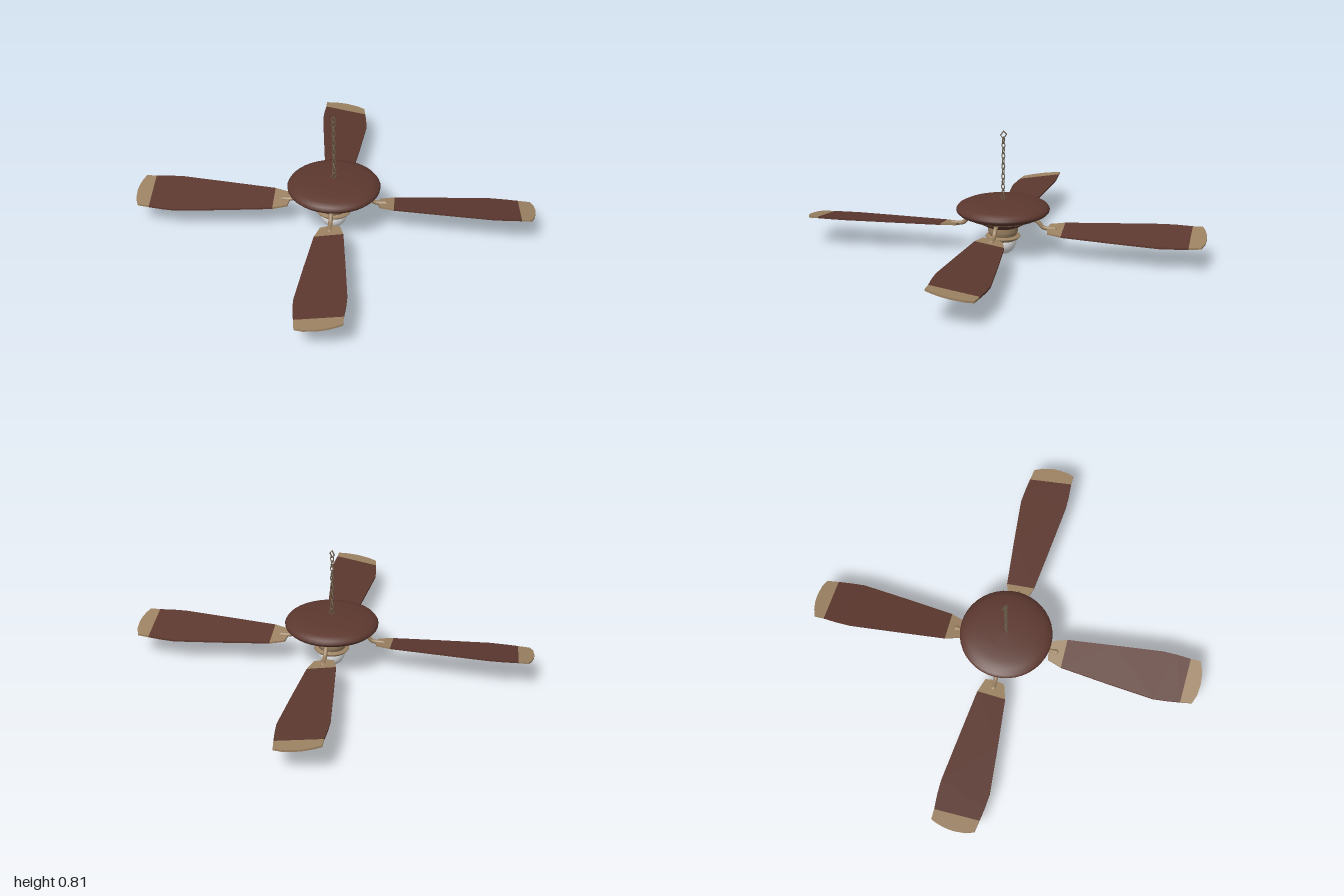
import * as THREE from 'three';

const mat = (name, color, side = THREE.FrontSide) => {
  const m = new THREE.MeshStandardMaterial({ color, side });
  m.name = name;
  return m;
};

export function createModel() {
  const wood = mat('dark wood', 0x5c382f, THREE.DoubleSide);
  const brass = mat('aged brass', 0x9c8262, THREE.DoubleSide);
  const iron = mat('chain metal', 0x6e614c);
  const glass = mat('white glass', 0xe4e4e6);

  const group = new THREE.Group();
  group.name = 'ceilingFan';
  const add = (parent, name, geometry, material) => {
    const mesh = new THREE.Mesh(geometry, material);
    mesh.name = name;
    parent.add(mesh);
    return mesh;
  };
  const lathe = (name, points, material) =>
    add(group, name, new THREE.LatheGeometry(points.map(p => new THREE.Vector2(...p)), 40), material);

  // Motor housing, stacked from the broad dome down to the lamp
  lathe('dome', [[0, 0.25], [0.2, 0.252], [0.25, 0.262], [0.282, 0.277], [0.297, 0.292], [0.299, 0.304],
    [0.288, 0.32], [0.255, 0.336], [0.2, 0.348], [0.12, 0.356], [0, 0.36]], wood);
  lathe('motorRing', [[0.14, 0.237], [0.19, 0.239], [0.222, 0.248], [0.226, 0.262]], brass);
  lathe('motorBowl', [[0, 0.188], [0.1, 0.188], [0.122, 0.198], [0.148, 0.213], [0.168, 0.23], [0.172, 0.242]], wood);
  lathe('lampHolder', [[0.078, 0.118], [0.086, 0.128], [0.09, 0.14], [0.094, 0.15], [0.097, 0.158],
    [0.098, 0.19]], brass);
  lathe('lampCollar', [[0.082, 0.1], [0.09, 0.1], [0.1, 0.106], [0.112, 0.118], [0.11, 0.124],
    [0.1, 0.122], [0.084, 0.132]], brass);
  add(group, 'bulb', new THREE.SphereGeometry(0.086, 32, 20), glass).position.y = 0.086;

  // Blade outlines as [radius, offset] pairs, split where the colour changes
  const outlines = [
    ['bladeRoot', brass, [[0.297, -0.062], [0.39, -0.092], [0.39, 0.092], [0.297, 0.062], [0.285, 0]]],
    ['bladePanel', wood, [[0.39, -0.092], [0.7, -0.123], [1.011, -0.15], [1.1, -0.142], [1.187, -0.13],
      [1.194, 0.157], [1.1, 0.163], [1.011, 0.163], [0.7, 0.128], [0.39, 0.092]]],
    ['bladeTip', brass, [[1.187, -0.13], [1.263, -0.118], [1.283, -0.066], [1.291, 0.01], [1.287, 0.06],
      [1.276, 0.11], [1.258, 0.158], [1.194, 0.157]]],
  ];
  const thickness = 0.012;

  // Four blades; neighbours are mirror images, so s flips offset and pitch
  for (let i = 0; i < 4; i++) {
    const s = i % 2 ? -1 : 1;
    const blade = new THREE.Group();
    blade.name = 'blade' + (i + 1);
    blade.rotation.y = -Math.PI / 4 - i * Math.PI / 2;
    group.add(blade);

    for (const [name, material, points] of outlines) {
      const shape = new THREE.Shape(points.map(([r, t]) => new THREE.Vector2(r, t * s)));
      const geo = new THREE.ExtrudeGeometry(shape, { depth: thickness, bevelEnabled: false });
      geo.rotateX(-Math.PI / 2);
      // Pitch the flat plate about its long axis
      const pos = geo.attributes.position;
      for (let k = 0; k < pos.count; k++) pos.setY(k, pos.getY(k) + 0.176 - 0.17 * s * pos.getZ(k));
      geo.computeVertexNormals();
      add(blade, name, geo, material);
    }

    // Curved arm from the motor to the blade root
    const arm = new THREE.CatmullRomCurve3([[0.15, 0.238], [0.2, 0.24], [0.235, 0.22], [0.255, 0.196],
      [0.29, 0.185], [0.335, 0.186]].map(([r, y]) => new THREE.Vector3(r, y, 0)));
    add(blade, 'bladeArm', new THREE.TubeGeometry(arm, 20, 0.014, 8), brass);
    const pad = add(blade, 'armEnd', new THREE.SphereGeometry(0.018, 12, 8), brass);
    pad.position.set(0.335, 0.186, 0);
    pad.scale.y = 0.6;
  }

  // Hanging chain: a diamond ring at each end and alternating oval links
  const chain = new THREE.Group();
  chain.name = 'chain';
  group.add(chain);
  const diamond = new THREE.TorusGeometry(0.023, 0.0045, 6, 4);
  const bottom = add(chain, 'bottomRing', diamond, iron);
  bottom.position.y = 0.377;
  bottom.rotation.y = Math.PI / 2;
  add(chain, 'topRing', diamond, iron).position.set(-0.004, 0.783, 0);
  const link = new THREE.TorusGeometry(0.011, 0.0036, 6, 8);
  link.scale(1, 1.75, 1);
  const count = 11;
  for (let i = 0; i < count; i++) {
    const mesh = add(chain, 'chainLink', link, iron);
    mesh.position.set(-0.004 * i / count, 0.412 + 0.0337 * i, 0);
    mesh.rotation.y = i % 2 ? Math.PI * 0.65 : Math.PI * 0.15;
  }

  return group;
}
